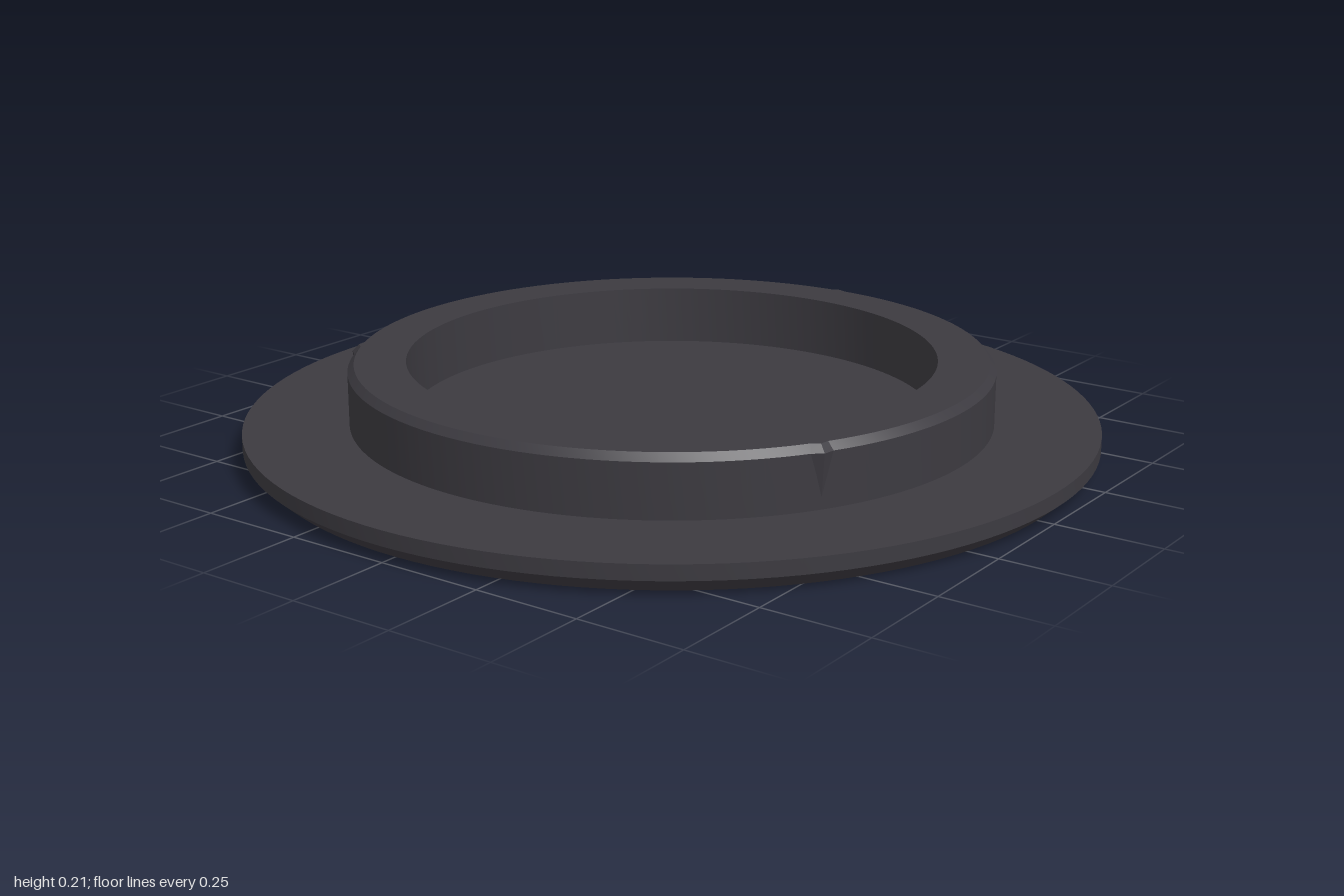
import * as THREE from 'three';
import { toCreasedNormals } from 'three/addons/utils/BufferGeometryUtils.js';

const SEGMENTS = 128;

// Revolve a list of [radius, height] points, keeping the profile corners sharp
function revolve(points) {
  const profile = points.map(([r, y]) => new THREE.Vector2(r, y));
  return toCreasedNormals(new THREE.LatheGeometry(profile, SEGMENTS), 0.4);
}

export function createModel() {
  const model = new THREE.Group();
  model.name = 'roundCap';
  const plastic = new THREE.MeshStandardMaterial({ color: 0x3c3a40 });
  plastic.name = 'charcoal plastic';

  function add(name, geometry, parent = model) {
    const mesh = new THREE.Mesh(geometry, plastic);
    mesh.name = name;
    parent.add(mesh);
    return mesh;
  }

  // Flat disc with a chamfered lower rim
  add('baseDisc', revolve([
    [0, 0], [0.96, 0], [1, 0.035], [1, 0.07], [0, 0.07],
  ]));

  // Raised collar with a chamfered outer top edge and an open centre
  add('collar', revolve([
    [0.755, 0.07], [0.755, 0.195], [0.74, 0.212], [0.62, 0.212], [0.62, 0.07],
  ]));

  // Three small gripping nubs, leaning outwards towards the top
  const section = new THREE.Shape([
    [0.73, 0.07], [0.752, 0.07], [0.765, 0.195], [0.748, 0.212], [0.73, 0.212],
  ].map(([r, y]) => new THREE.Vector2(r, y)));
  const width = 0.08;
  const nub = new THREE.ExtrudeGeometry(section, { depth: width, steps: 2, bevelEnabled: false });
  nub.translate(0, 0, -width / 2);
  // Draw the ends back into the collar so each nub comes to a soft peak
  const pos = nub.attributes.position;
  for (let i = 0; i < pos.count; i++) {
    if (Math.abs(pos.getZ(i)) > 0.01) pos.setX(i, pos.getX(i) - 0.016);
  }
  nub.computeVertexNormals();

  const nubs = new THREE.Group();
  nubs.name = 'gripNubs';
  model.add(nubs);
  for (let i = 0; i < 3; i++) {
    add('gripNub', nub, nubs).rotation.y = (i * Math.PI * 2) / 3;
  }
  return model;
}
